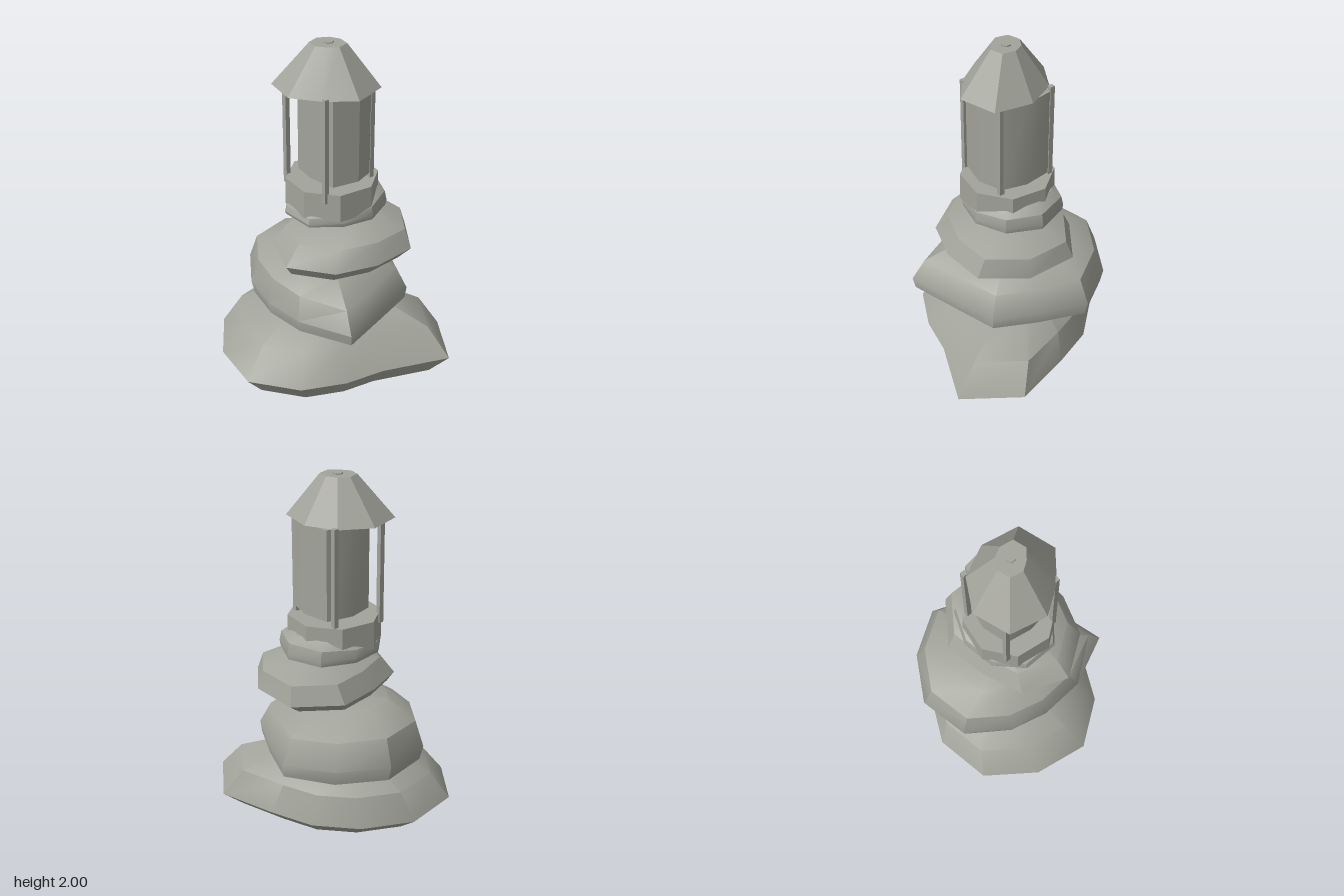
import * as THREE from 'three';
import { toCreasedNormals } from 'three/addons/utils/BufferGeometryUtils.js';

const stone = new THREE.MeshStandardMaterial({ color: 0xa2a39a });
stone.name = 'weathered stone';

// Heights of the four rings of a boulder, as fractions of its own height
const BOULDER_RINGS = [0.04, 0.27, 0.68, 0.97];

// Solid with spokes at even angles, scaled ring by ring, leaning and tilting with height
function loft({ turn = 0, spokes, height, rings, scales, lean = [0, 0], tilt = [0, 0] }) {
  const n = spokes.length, pos = [], idx = [];
  rings.forEach((t, k) => spokes.forEach((r, i) => {
    const a = turn + i / n * Math.PI * 2;
    const x = r * scales[k] * Math.cos(a), z = r * scales[k] * Math.sin(a);
    pos.push(x + lean[0] * t, t * (height + x * tilt[0] + z * tilt[1]), z + lean[1] * t);
  }));
  const last = (rings.length - 1) * n, bottom = last + n, top = bottom + 1;
  pos.push(0, 0, 0, lean[0], height, lean[1]);
  for (let i = 0; i < n; i++) {
    const j = (i + 1) % n;
    for (let r = 0; r < last; r += n) {
      idx.push(r + i, r + n + i, r + j, r + j, r + n + i, r + n + j);
    }
    idx.push(bottom, i, j, top, last + j, last + i);
  }
  const g = new THREE.BufferGeometry();
  g.setAttribute('position', new THREE.Float32BufferAttribute(pos, 3));
  g.setIndex(idx);
  return g;
}

// Uneven stones, lowest first
const boulders = [
  { name: 'baseBoulder', at: [0, 0, 0], height: 0.41, turn: 0.47,
    spokes: [.69, .74, .46, .46, .535, .63, .64, .67, .62, .54, .51, .52],
    scales: [.84, 1, .82, .45], lean: [.07, -.08] },
  { name: 'secondBoulder', at: [.05, .41, -.07], height: 0.33, turn: 2.04,
    spokes: [.6, .47, .42, .44, .52, .55, .53, .54, .44, .48, .45],
    scales: [.97, 1, .88, .55], lean: [-.01, -.02], tilt: [0, -.08] },
  { name: 'thirdBoulder', at: [.045, .735, .03], height: 0.26, turn: 0.26,
    spokes: [.42, .41, .35, .38, .43, .39, .33, .4, .45],
    scales: [.86, 1, .85, .36], lean: [.08, 0] },
  { name: 'lanternSeat', at: [.07, 1.005, -.02], height: 0.11,
    spokes: [.31, .29, .27, .26, .3, .3, .28, .28, .31],
    scales: [.98, 1, .96, .78], tilt: [.12, 0] },
];

export function createModel() {
  const group = new THREE.Group();
  const add = (name, geometry, [x, y, z], crease = 0.5) => {
    const mesh = new THREE.Mesh(toCreasedNormals(geometry, crease), stone);
    mesh.name = name;
    mesh.position.set(x, y, z);
    group.add(mesh);
  };

  for (const b of boulders) add(b.name, loft({ ...b, rings: BOULDER_RINGS }), b.at, 0.62);

  // Collar under the lantern
  add('collar', new THREE.CylinderGeometry(.262, .266, .16, 8).rotateY(.25), [.05, 1.13, -.025]);

  // Lantern body: a square with bulging sides
  add('lanternBody', loft({
    spokes: [.18, .2, .19, .22, .175, .21, .19, .225],
    height: .515, rings: [0, 1], scales: [1, 1],
  }), [.065, 1.24, -.01]);

  // Four corner posts around a centre column that just pierces the roof
  for (const x of [-.13, .195]) {
    for (const z of [-.2, .13]) {
      add('cornerPost', new THREE.BoxGeometry(.028, .61, .028), [x, 1.46, z]);
    }
  }
  add('centreColumn', new THREE.CylinderGeometry(.028, .028, .82, 6), [.03, 1.59, -.03]);

  // Faceted roof with uneven eaves
  add('roof', loft({
    spokes: [.255, .3, .275, .215, .255, .29, .272, .245],
    height: .238, rings: [0, 1], scales: [1, .34], lean: [.018, 0],
  }), [.005, 1.754, -.03]);

  return group;
}
